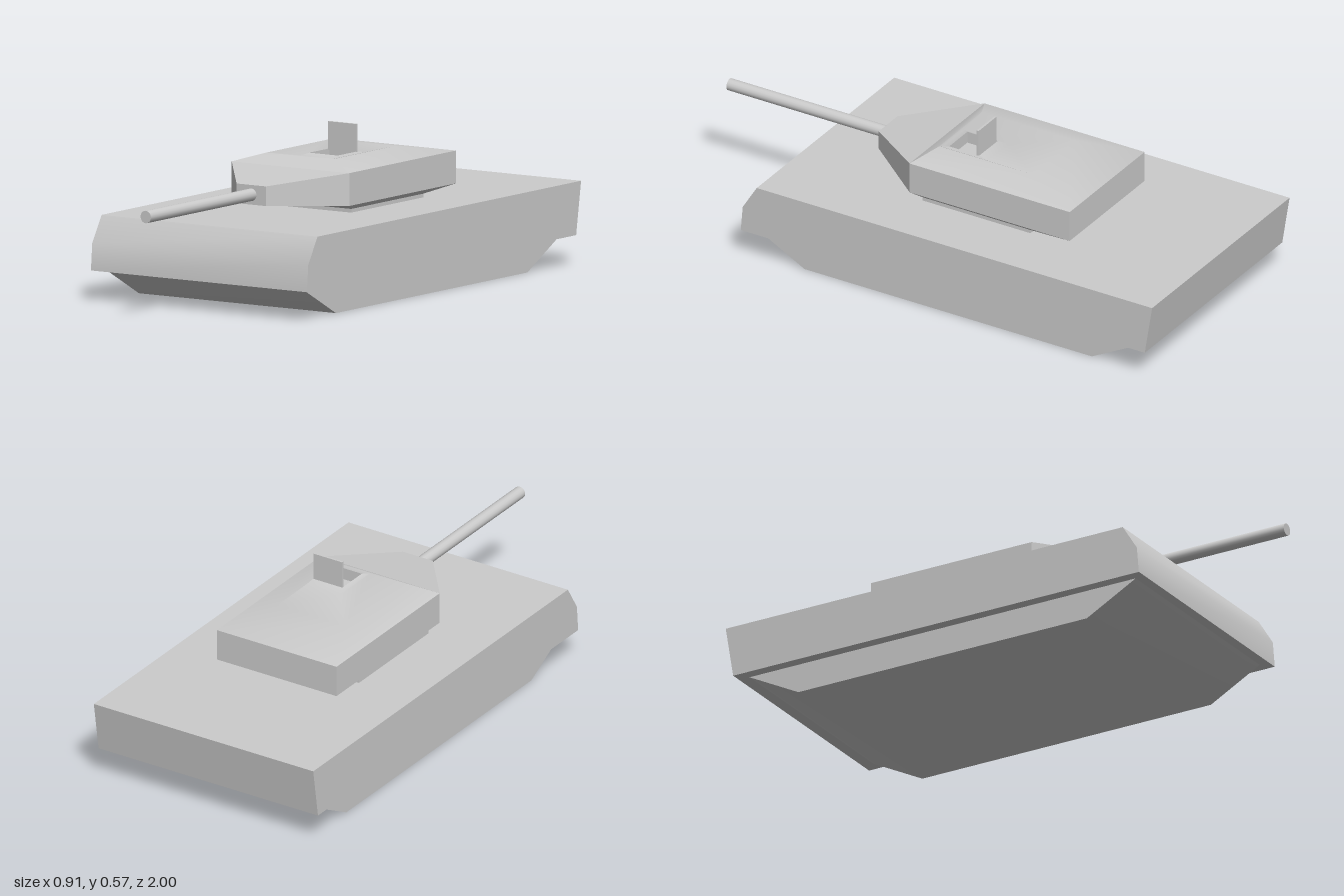
import * as THREE from 'three';
import { toCreasedNormals } from 'three/addons/utils/BufferGeometryUtils.js';

const grey = new THREE.MeshStandardMaterial({ color: 0xcccccc });

function part(name, geometry) {
  const mesh = new THREE.Mesh(geometry, grey);
  mesh.name = name;
  return mesh;
}

// Side profile of [z, y] points, extruded across the width
function slab(profile, width) {
  const shape = new THREE.Shape(profile.map(([z, y]) => new THREE.Vector2(z, y)));
  const geo = new THREE.ExtrudeGeometry(shape, { depth: width, bevelEnabled: false });
  geo.rotateY(-Math.PI / 2);
  geo.translate(width / 2, 0, 0);
  return toCreasedNormals(geo, 0.5);
}

// Skin over four-cornered rings, closed at the last ring
function loft(rings) {
  const pos = [];
  const quad = (a, b, c, d) => pos.push(...a, ...b, ...c, ...a, ...c, ...d);
  for (let r = 0; r < rings.length - 1; r++) {
    for (let i = 0; i < 4; i++) {
      const j = (i + 1) % 4;
      quad(rings[r][i], rings[r][j], rings[r + 1][j], rings[r + 1][i]);
    }
  }
  quad(...rings[rings.length - 1]);
  const geo = new THREE.BufferGeometry();
  geo.setAttribute('position', new THREE.Float32BufferAttribute(pos, 3));
  return toCreasedNormals(geo, 0.5);
}

// Horizontal ring: x range, front and back z, height
const level = (x0, x1, front, back, y) =>
  [[x0, y, front], [x1, y, front], [x1, y, back], [x0, y, back]];

// Upright ring: half width, bottom and top, depth position
const upright = (x, y0, y1, z) => [[-x, y0, z], [x, y0, z], [x, y1, z], [-x, y1, z]];

export function createModel() {
  const model = new THREE.Group();
  model.name = 'tank';

  // Hull: wide upper body over a narrower, boat-shaped underside
  model.add(part('upperHull', slab(
    [[0.675, 0.105], [0.667, 0.2], [0.61, 0.292], [-1, 0.292], [-0.97, 0.105]], 0.91)));
  model.add(part('lowerHull', slab(
    [[0.64, 0.106], [0.44, 0], [-0.73, 0], [-0.93, 0.106]], 0.83)));

  const turret = new THREE.Group();
  turret.name = 'turret';
  model.add(turret);

  // Neck, undercut, walls, sloped roof, then the hatch rim and its open well
  turret.add(part('turretBody', loft([
    level(-0.228, 0.228, 0.075, -0.365, 0.285),
    level(-0.228, 0.228, 0.075, -0.365, 0.305),
    level(-0.248, 0.248, 0.115, -0.537, 0.322),
    level(-0.248, 0.248, 0.115, -0.537, 0.437),
    level(-0.14, 0.14, 0.06, -0.32, 0.47),
    level(0.0, 0.14, 0.05, -0.135, 0.471),
    level(0.015, 0.135, 0.023, -0.1, 0.478),
    level(0.015, 0.135, 0.023, -0.1, 0.435),
  ])));

  // Tapered front of the turret
  turret.add(part('turretNose', loft([
    upright(0.248, 0.322, 0.437, 0.115),
    upright(0.062, 0.335, 0.404, 0.355),
  ])));

  // Raised hatch lid
  const lid = part('hatchLid', new THREE.BoxGeometry(0.118, 0.1, 0.008));
  lid.position.set(0.077, 0.525, -0.093);
  turret.add(lid);

  // Gun barrel
  const barrel = part('gunBarrel', new THREE.CylinderGeometry(0.022, 0.022, 0.67, 16));
  barrel.rotation.x = Math.PI / 2;
  barrel.position.set(0, 0.37, 0.665);
  turret.add(barrel);

  return model;
}
